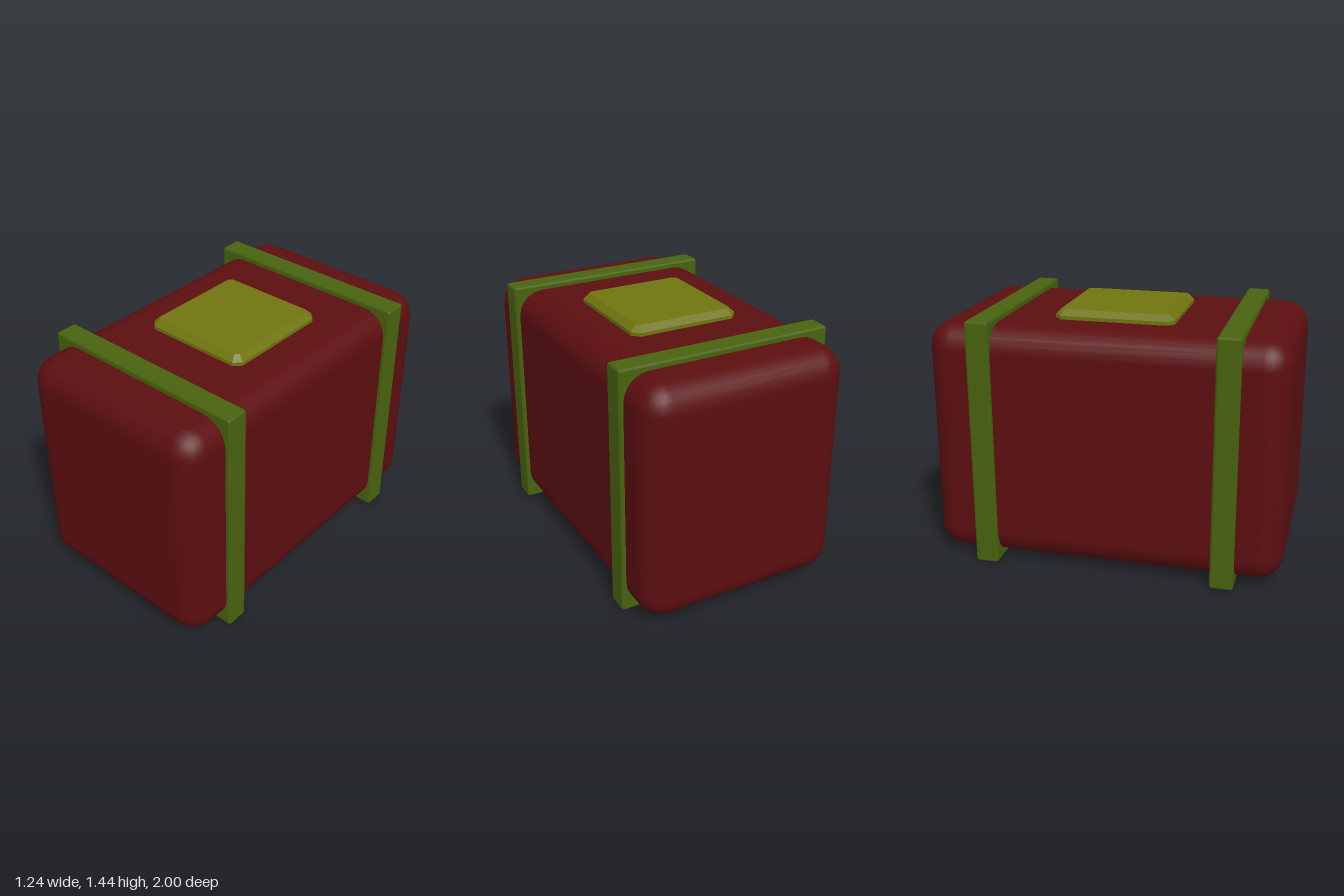
import * as THREE from 'three';
import { RoundedBoxGeometry } from 'three/addons/geometries/RoundedBoxGeometry.js';

const material = (name, color) => new THREE.MeshStandardMaterial({ name, color });

export function createModel() {
  const group = new THREE.Group();
  group.name = 'strappedCrate';
  const red = material('dark red', 0x5c0e10);
  const green = material('moss green', 0x48620e);
  const olive = material('olive yellow', 0x70740f);

  const add = (name, geometry, mat, x, y, z) => {
    const mesh = new THREE.Mesh(geometry, mat);
    mesh.name = name;
    mesh.position.set(x, y, z);
    group.add(mesh);
  };

  // Softly rounded body
  add('body', new RoundedBoxGeometry(1.192, 1.352, 2.002, 3, 0.145), red, 0, 0.711, 0);

  // Two straps around the body
  for (const [name, side] of [['frontStrap', 1], ['backStrap', -1]]) {
    add(name, new RoundedBoxGeometry(1.243, 1.42, 0.132, 1, 0.015), green, 0, 0.71, side * 0.68);
  }

  // Bevelled plate with clipped corners on top
  const w = 0.29, d = 0.305, cut = 0.02;
  const outline = new THREE.Shape([
    [w - cut, -d], [w, -d + cut], [w, d - cut], [w - cut, d],
    [-w + cut, d], [-w, d - cut], [-w, -d + cut], [-w + cut, -d],
  ].map(([x, y]) => new THREE.Vector2(x, y)));
  const plate = new THREE.ExtrudeGeometry(outline, {
    depth: 0.03, bevelEnabled: true, bevelThickness: 0.033, bevelSize: 0.032, bevelSegments: 1,
  });
  plate.rotateX(-Math.PI / 2);
  add('topPlate', plate, olive, 0, 1.377, 0);

  return group;
}
